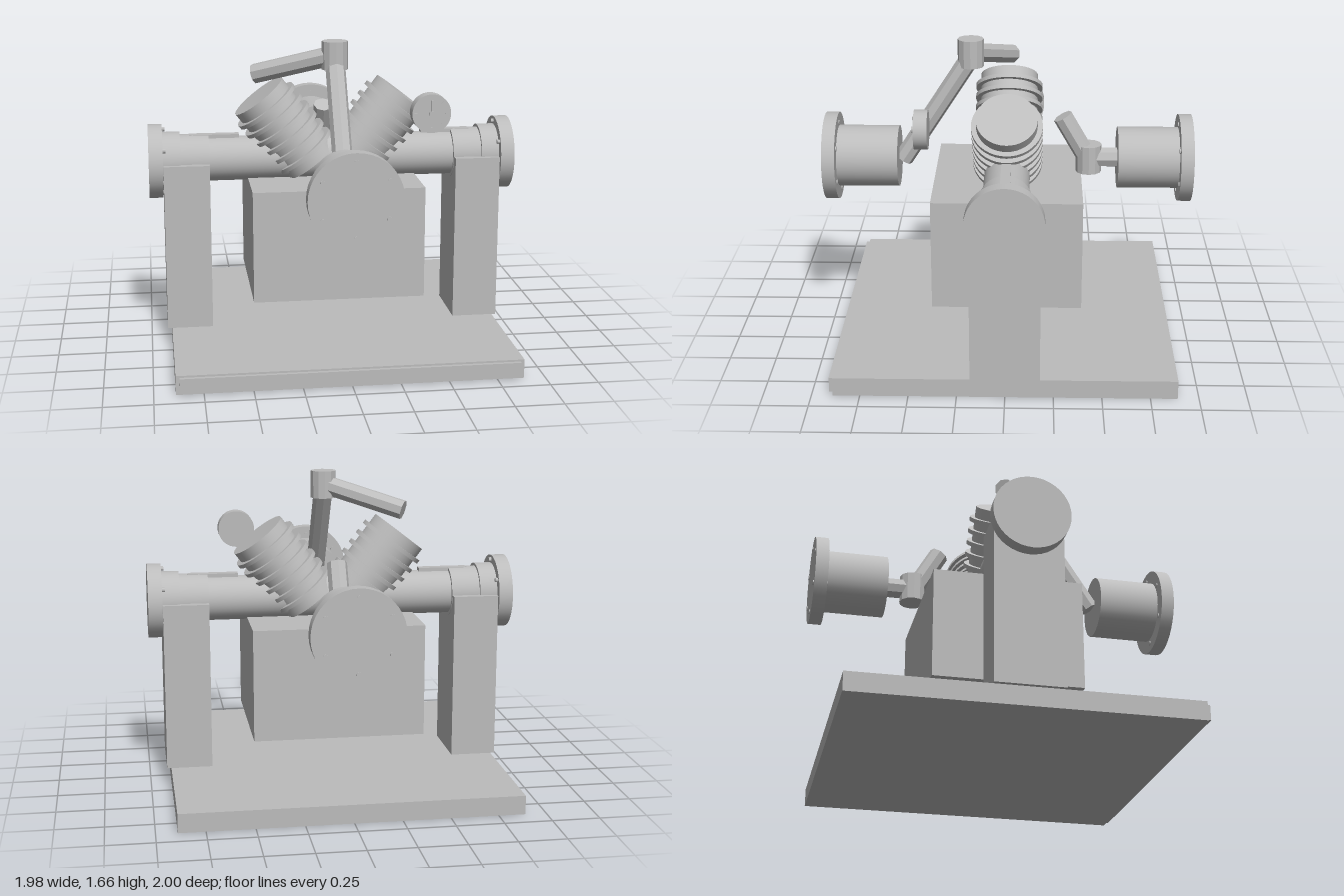
import * as THREE from 'three';

export function createModel() {
  const model = new THREE.Group();
  const grey = new THREE.MeshStandardMaterial({ color: 0xbcbcbc });
  grey.name = 'machine grey';
  const facetedGrey = grey.clone();
  facetedGrey.flatShading = true;
  const V = (x, y, z) => new THREE.Vector3(x, y, z);
  const up = V(0, 1, 0);

  function box(name, w, h, d, x, y, z) {
    const m = new THREE.Mesh(new THREE.BoxGeometry(w, h, d), grey);
    m.name = name;
    m.position.set(x, y, z);
    model.add(m);
    return m;
  }

  // Cylinder running from point a to point b
  function rod(name, a, b, r, sides = 40) {
    const dir = b.clone().sub(a);
    const geo = new THREE.CylinderGeometry(r, r, dir.length(), sides);
    const m = new THREE.Mesh(geo, sides < 16 ? facetedGrey : grey);
    m.name = name;
    m.position.copy(a).add(b).multiplyScalar(0.5);
    m.quaternion.setFromUnitVectors(up, dir.normalize());
    model.add(m);
    return m;
  }

  // Base, front plate and engine block
  box('base', 1.78, 0.1, 1.78, 0, 0.05, 0);
  box('frontPlate', 1.74, 0.08, 0.02, 0, 0.05, 0.9);
  box('block', 0.915, 0.6, 0.8, 0, 0.6, 0);

  // Main pipe with supports, stepped collars and end flanges
  rod('mainPipe', V(-0.95, 1, 0), V(0.95, 1, 0), 0.12);
  for (const s of [-1, 1]) {
    box('support', 0.245, 0.9, 0.36, s * 0.79, 0.55, 0);
    rod('innerCollar', V(s * 0.665, 1, 0), V(s * 0.83, 1, 0), 0.137);
    rod('outerCollar', V(s * 0.82, 1, 0), V(s * 0.93, 1, 0), 0.152);
    rod('endFlange', V(s * 0.915, 0.995, 0), V(s * 0.99, 0.995, 0), 0.2);
    box('pipeRib', 0.27, 0.03, 0.05, s * 0.635, 1.122, 0);
    for (let i = 0; i < 6; i++) {
      const a = Math.PI / 6 + i * Math.PI / 3;
      const y = 0.995 + 0.175 * Math.sin(a), z = 0.175 * Math.cos(a);
      rod('endBolt', V(s * 0.9, y, z), V(s * 0.93, y, z), 0.012, 10);
    }
  }

  // Front and back drums with bolted flanges
  for (const s of [-1, 1]) {
    rod('drum', V(0, 0.995, s * 0.595), V(0, 0.995, s * 0.95), 0.167);
    rod('drumFlange', V(0, 0.995, s * 0.925), V(0, 0.995, s * 0.995), 0.238);
    for (let i = 0; i < 6; i++) {
      const a = Math.PI / 2 + i * Math.PI / 3;
      const x = 0.19 * Math.cos(a), y = 0.995 + 0.19 * Math.sin(a);
      rod('drumBolt', V(x, y, s * 0.92), V(x, y, s * 1), 0.013, 10);
    }
  }

  // Finned cylinders leaning outwards
  const lean = THREE.MathUtils.degToRad(37.5);
  for (const s of [-1, 1]) {
    const top = V(s * 0.39, 1.34, 0);
    const down = V(-s * Math.sin(lean), -Math.cos(lean), 0);
    const at = d => top.clone().addScaledVector(down, d);
    rod('cylinder', at(0.46), top, 0.16);
    for (let i = 0; i < 6; i++) {
      const d = 0.07 + i * 0.064;
      rod('coolingFin', at(d + 0.011), at(d - 0.011), 0.187);
    }
  }

  // Front linkage: drum to joint, then down to the left cylinder
  rod('frontLowerTube', V(0, 0.98, 0.575), V(0, 1.56, 0.2), 0.053, 8);
  rod('frontUpperTube', V(-0.41, 1.46, -0.01), V(0, 1.585, 0.2), 0.054, 8);
  rod('frontJoint', V(0, 1.51, 0.2), V(0, 1.66, 0.2), 0.07, 12);

  // Back linkage
  rod('backLowerTube', V(0, 0.995, -0.62), V(0, 0.995, -0.44), 0.055, 8);
  rod('backUpperTube', V(0, 0.985, -0.435), V(0, 1.228, -0.295), 0.054, 8);
  rod('backJoint', V(0, 0.915, -0.44), V(0, 1.07, -0.44), 0.07, 12);

  // Gauge with hub, needle and tick marks
  const gx = 0.47, gy = 1.31;
  rod('gauge', V(gx, gy, 0.4), V(gx, gy, 0.47), 0.102);
  rod('gaugeHub', V(gx, gy, 0.465), V(gx, gy, 0.485), 0.016, 12);
  box('gaugeNeedle', 0.01, 0.07, 0.009, gx, gy + 0.035, 0.474);
  for (let i = 0; i < 8; i++) {
    const a = i * Math.PI / 4;
    const tick = box('gaugeTick', 0.018, 0.006, 0.003,
      gx + 0.082 * Math.cos(a), gy + 0.082 * Math.sin(a), 0.471);
    tick.rotation.z = a;
  }

  return model;
}
